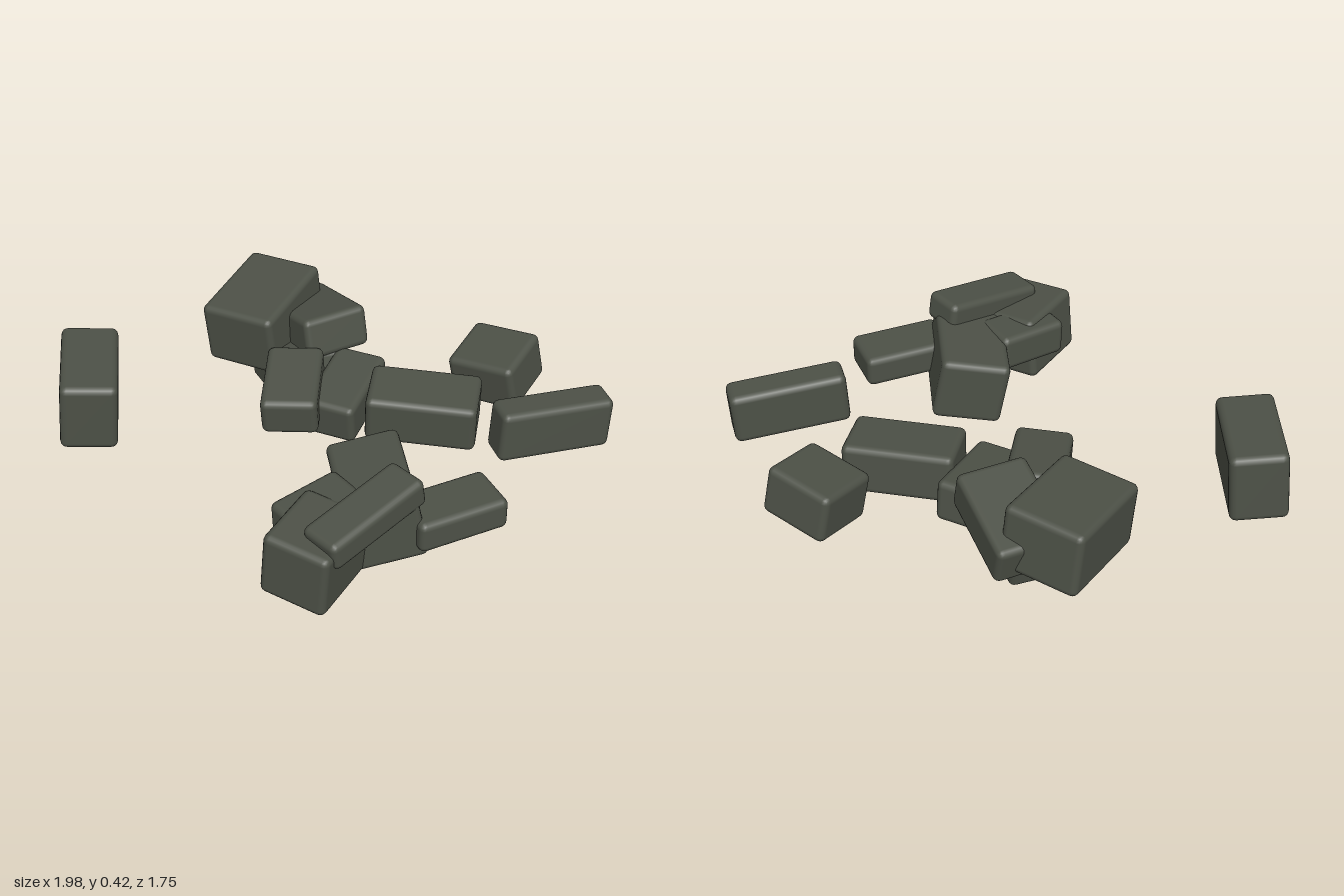
import * as THREE from 'three';
import { RoundedBoxGeometry } from 'three/addons/geometries/RoundedBoxGeometry.js';

// Scattered rubble: bevelled stone blocks, each [name, size, centre, turn (yaw, pitch, roll)]
const blocks = [
  // lone block on the right side
  ['outlyingBlock', [0.21, 0.27, 0.40], [-0.88, 0.23, -0.24], [0, 0.03, -0.07]],
  // rear pile
  ['rearLargeBlock', [0.30, 0.25, 0.40], [-0.21, 0.265, -0.63], [-0.58, 0.10, 0.05]],
  ['rearLeaningBlock', [0.26, 0.16, 0.37], [-0.015, 0.25, -0.575], [0.40, -0.25, 0]],
  ['rearBuriedBlock', [0.26, 0.18, 0.30], [-0.10, 0.12, -0.49], [0.25, -0.22, -0.08]],
  ['rearFrontBlock', [0.21, 0.15, 0.33], [-0.13, 0.18, -0.225], [-0.17, 0.12, 0.04]],
  ['rearLowBlock', [0.20, 0.16, 0.34], [0.07, 0.13, -0.25], [-0.50, 0.12, 0]],
  // loose blocks on the left side
  ['middleBlock', [0.41, 0.19, 0.23], [0.345, 0.15, -0.11], [-0.25, 0.07, -0.02]],
  ['tiltedBlock', [0.27, 0.19, 0.25], [0.65, 0.175, -0.32], [-0.63, 0.15, 0.12]],
  ['narrowBlock', [0.43, 0.20, 0.13], [0.77, 0.235, 0.135], [0.235, 0, -0.06]],
  // front pile
  ['frontLargeBlock', [0.26, 0.25, 0.42], [0.11, 0.18, 0.44], [0.06, 0, 0.19]],
  ['frontSideBlock', [0.34, 0.12, 0.20], [0.36, 0.175, 0.525], [0.36, 0, 0]],
  ['frontCornerBlock', [0.25, 0.25, 0.30], [-0.125, 0.17, 0.69], [-0.60, 0, -0.08]],
  ['frontTopSlab', [0.42, 0.11, 0.16], [0.045, 0.305, 0.675], [0.65, 0, 0.16]],
  ['frontBackSlab', [0.28, 0.14, 0.18], [-0.10, 0.22, 0.55], [0.57, 0, 0.05]],
];

export function createModel() {
  const group = new THREE.Group();
  group.name = 'rubble';
  const stone = new THREE.MeshStandardMaterial({ color: 0x4d5147 });
  stone.name = 'dark stone';

  for (const [name, size, centre, [yaw, pitch, roll]] of blocks) {
    const block = new THREE.Mesh(new RoundedBoxGeometry(...size, 2, 0.025), stone);
    block.name = name;
    block.position.set(...centre);
    block.rotation.set(pitch, yaw, roll, 'YXZ');
    group.add(block);
  }
  return group;
}
